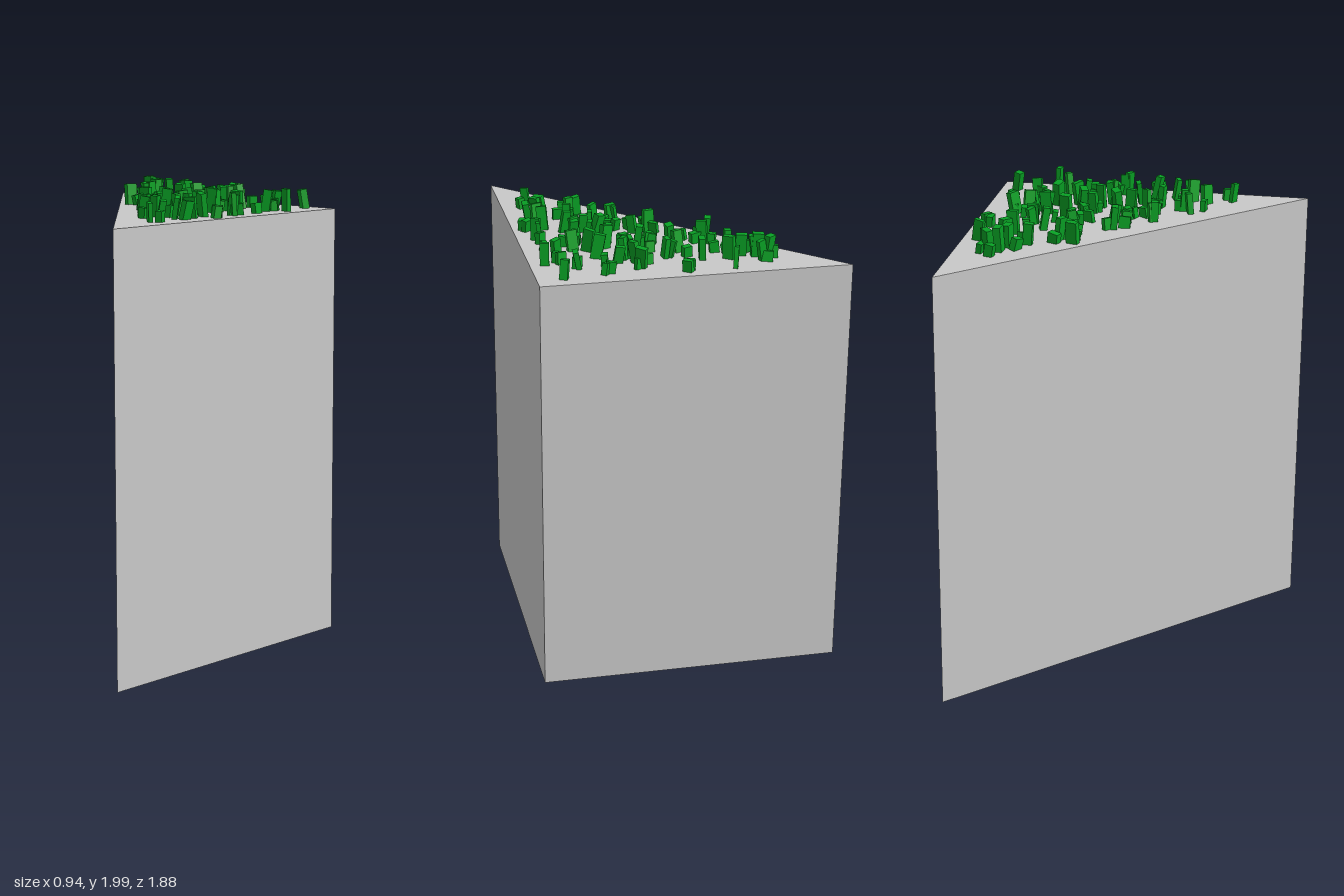
import * as THREE from 'three';

const GROUND = 1.885;

// Rows of tufts: z position, then the x positions along that row
const ROWS = [
  [-0.62, -0.37, -0.31], [-0.60, -0.34], [-0.55, -0.34, -0.17], [-0.49, -0.36, -0.31], [-0.47, -0.25],
  [-0.41, -0.33, -0.02], [-0.38, -0.28, -0.18], [-0.31, -0.37, -0.17], [-0.25, -0.42, -0.34, -0.20, -0.12],
  [-0.22, -0.39, 0.00, 0.05], [-0.18, -0.34, -0.28, 0.02], [-0.15, -0.29, -0.13, 0.18], [-0.11, 0.00, 0.06],
  [-0.08, -0.22, -0.15, 0.11], [-0.03, -0.35, -0.22, 0.34], [0.00, -0.35, -0.14, 0.06, 0.20],
  [0.04, -0.37, -0.29, -0.06], [0.08, -0.32, -0.12, 0.01, 0.20], [0.13, -0.28, -0.08, 0.04, 0.16, 0.25],
  [0.16, -0.28, -0.16, -0.04, 0.02], [0.20, -0.36, -0.30, -0.19, -0.06, 0.02], [0.23, -0.27, -0.18, 0.12],
  [0.30, -0.23, -0.13, 0.04], [0.34, -0.22, 0.02], [0.39, -0.36, -0.31, -0.11], [0.42, -0.26],
  [0.46, -0.36, -0.16, -0.06], [0.50, -0.23], [0.53, -0.29, -0.19], [0.64, -0.33, -0.29],
];

function seeded(seed) {
  return () => {
    seed = (seed * 16807) % 2147483647;
    return seed / 2147483647;
  };
}

export function createModel() {
  const model = new THREE.Group();
  const stone = new THREE.MeshStandardMaterial({ color: 0xc8c8c8 });
  stone.name = 'stone grey';
  const green = new THREE.MeshStandardMaterial({ color: 0x089f24 });
  green.name = 'grass green';

  // Triangular block, drawn in plan and raised to ground level
  const plan = new THREE.Shape([
    new THREE.Vector2(-0.472, -0.942), new THREE.Vector2(0.47, 0), new THREE.Vector2(-0.472, 0.942),
  ]);
  const prism = new THREE.ExtrudeGeometry(plan, { depth: GROUND, bevelEnabled: false });
  prism.rotateX(-Math.PI / 2);
  const block = new THREE.Mesh(prism, stone);
  block.name = 'block';
  model.add(block);

  // Leaning grass blades, one tall or short blade per tuft and sometimes a second
  const grass = new THREE.Group();
  grass.name = 'grass';
  const random = seeded(4271);
  const spread = (size) => (random() - 0.5) * size;
  const unitBlade = new THREE.BoxGeometry(1, 1, 1).translate(0, 0.5, 0);

  function addBlade(x, z) {
    const blade = new THREE.Mesh(unitBlade, green);
    blade.name = 'grassBlade';
    const height = random() < 0.5 ? 0.045 + random() * 0.01 : 0.08 + random() * 0.032;
    blade.scale.set(0.034 + random() * 0.016, height, 0.018 + random() * 0.014);
    blade.position.set(x, GROUND - 0.002, z);
    blade.rotation.set(spread(0.4), random() * Math.PI, spread(0.4), 'YXZ');
    grass.add(blade);
  }

  for (const [z, ...xs] of ROWS) {
    for (const x of xs) {
      addBlade(x, z);
      if (random() < 0.4) addBlade(x + spread(0.05), z + spread(0.05));
    }
  }
  model.add(grass);
  return model;
}
